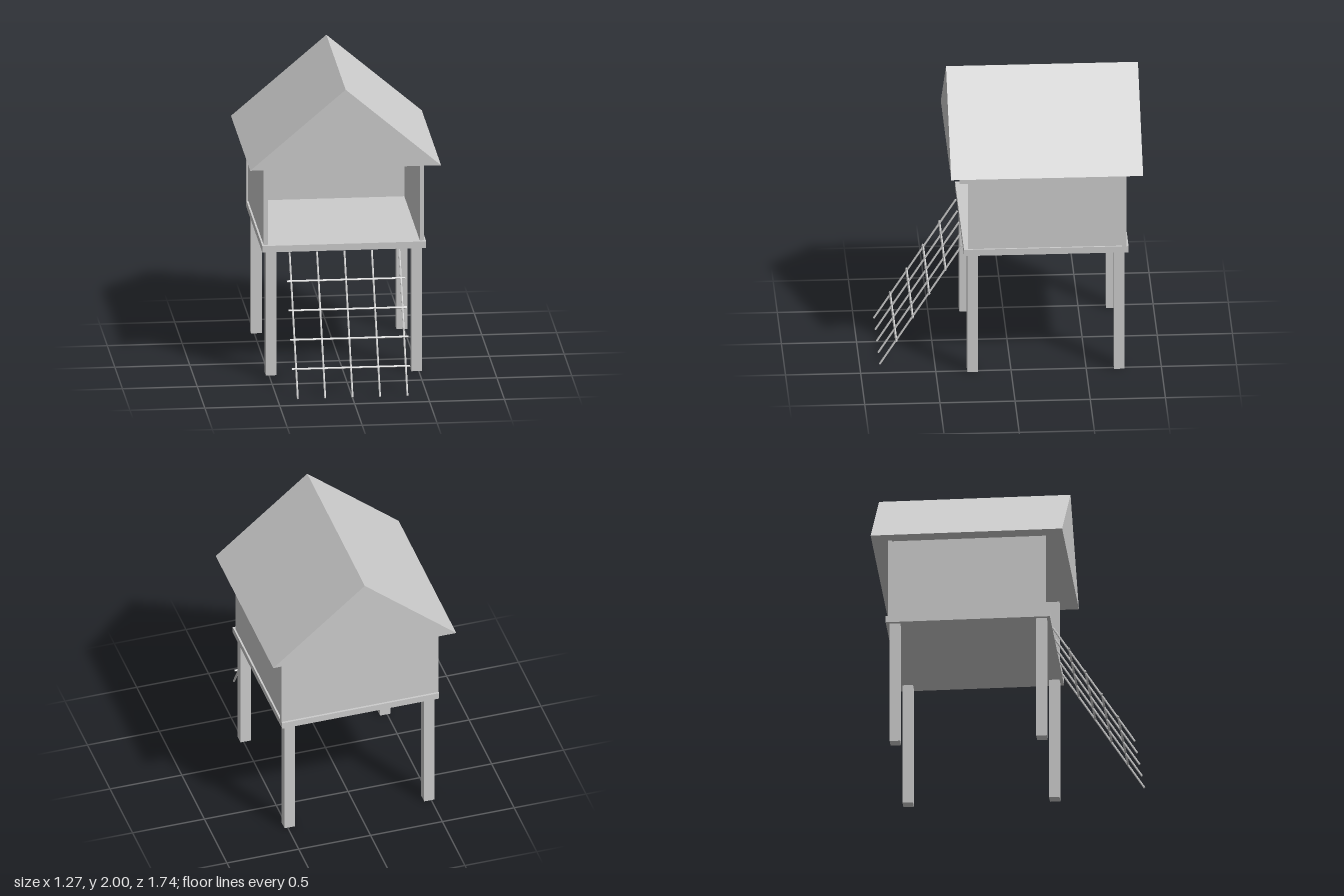
import * as THREE from 'three';

export function createModel() {
  const model = new THREE.Group();
  model.name = 'stiltHut';
  const grey = new THREE.MeshStandardMaterial({ color: 0xcccccc });
  grey.name = 'plain grey';

  const add = (name, geometry, parent = model) => {
    const mesh = new THREE.Mesh(geometry, grey);
    mesh.name = name;
    parent.add(mesh);
    return mesh;
  };
  // Box given by its extents on each axis
  const box = (name, [x0, x1], [y0, y1], [z0, z1]) => {
    const mesh = add(name, new THREE.BoxGeometry(x1 - x0, y1 - y0, z1 - z0));
    mesh.position.set((x0 + x1) / 2, (y0 + y1) / 2, (z0 + z1) / 2);
    return mesh;
  };

  // Platform
  box('platform', [-0.547, 0.547], [0.86, 0.905], [-0.78, 0.315]);

  // Stilts and side walls, mirrored left and right
  for (const [side, s] of [['left', 1], ['right', -1]]) {
    const span = (a, b) => (s > 0 ? [a, b] : [-b, -a]);
    box(side + 'FrontPost', span(0.45, 0.522), [0, 0.86], [0.222, 0.292]);
    box(side + 'BackPost', span(0.45, 0.522), [0, 0.86], [-0.755, -0.685]);
    box(side + 'Wall', span(0.507, 0.535), [0.905, 1.457], [-0.737, 0.287]);
  }
  box('backWall', [-0.547, 0.547], [0.905, 1.457], [-0.765, -0.737]);

  // Solid gable roof
  const gable = new THREE.Shape([
    new THREE.Vector2(-0.637, 1.457),
    new THREE.Vector2(0.637, 1.457),
    new THREE.Vector2(0, 2),
  ]);
  const roof = add('roof', new THREE.ExtrudeGeometry(gable, { depth: 1.277, bevelEnabled: false }));
  roof.position.z = -0.872;

  // Climbing net leaning from the ground to the platform's front edge
  const net = new THREE.Group();
  net.name = 'climbingNet';
  model.add(net);
  const foot = new THREE.Vector3(0, 0.004, 0.866);
  const head = new THREE.Vector3(0, 0.857, 0.32);
  const lean = Math.atan2(head.z - foot.z, head.y - foot.y);
  const length = foot.distanceTo(head);
  for (let i = -2; i <= 2; i++) {
    const rope = add('rope', new THREE.CylinderGeometry(0.007, 0.007, length, 6).toNonIndexed(), net);
    rope.geometry.computeVertexNormals();
    rope.position.addVectors(foot, head).multiplyScalar(0.5).setX(i * 0.183);
    rope.rotation.x = lean;
  }
  for (let i = 1; i <= 4; i++) {
    const rung = add('rung', new THREE.BoxGeometry(0.79, 0.011, 0.011), net);
    rung.position.lerpVectors(foot, head, i * 0.2);
    rung.position.y += 0.004;
    rung.rotation.x = lean;
  }
  return model;
}
